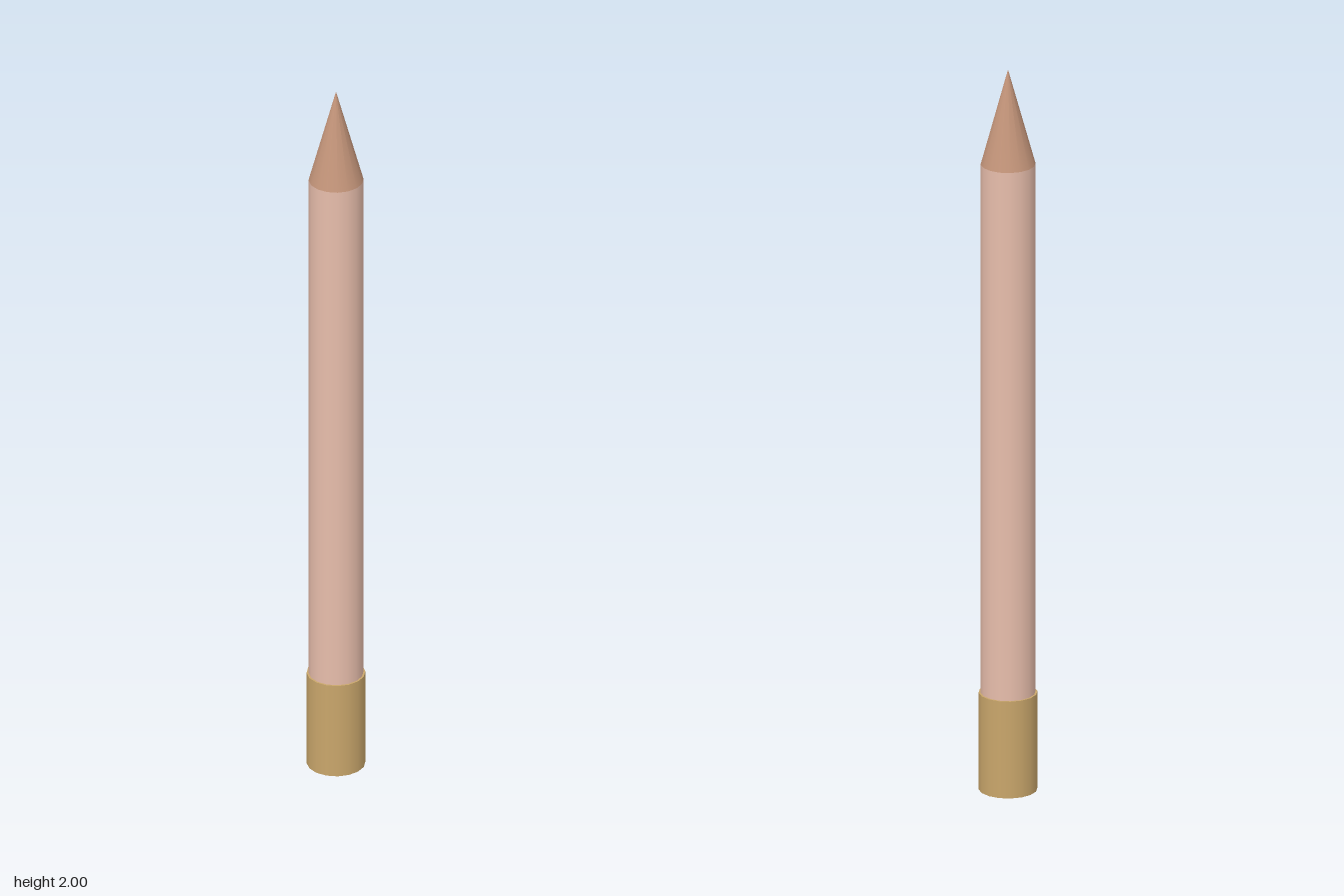
import * as THREE from 'three';

const SIDES = 16;

function material(name, color) {
  const m = new THREE.MeshStandardMaterial({ color });
  m.name = name;
  return m;
}

export function createModel() {
  const group = new THREE.Group();
  group.name = 'pencil';
  const pink = material('pale pink', 0xe8beac);
  const brown = material('warm brown', 0xc4957a);
  const gold = material('dull gold', 0xc9a66b);

  // Adds an upright round part between two heights
  const add = (name, geometry, mat, bottom, top) => {
    const mesh = new THREE.Mesh(geometry, mat);
    mesh.name = name;
    mesh.position.y = (bottom + top) / 2;
    group.add(mesh);
  };

  // Shaft runs the whole way down through the sleeve
  add('shaft', new THREE.CylinderGeometry(0.072, 0.072, 1.738, SIDES), pink, 0, 1.738);

  // Pointed tip
  add('tip', new THREE.ConeGeometry(0.072, 0.262, SIDES), brown, 1.738, 2);

  // Sleeve around the base, just clear of the shaft's end face
  add('sleeve', new THREE.CylinderGeometry(0.077, 0.077, 0.269, SIDES), gold, 0.001, 0.27);

  return group;
}
